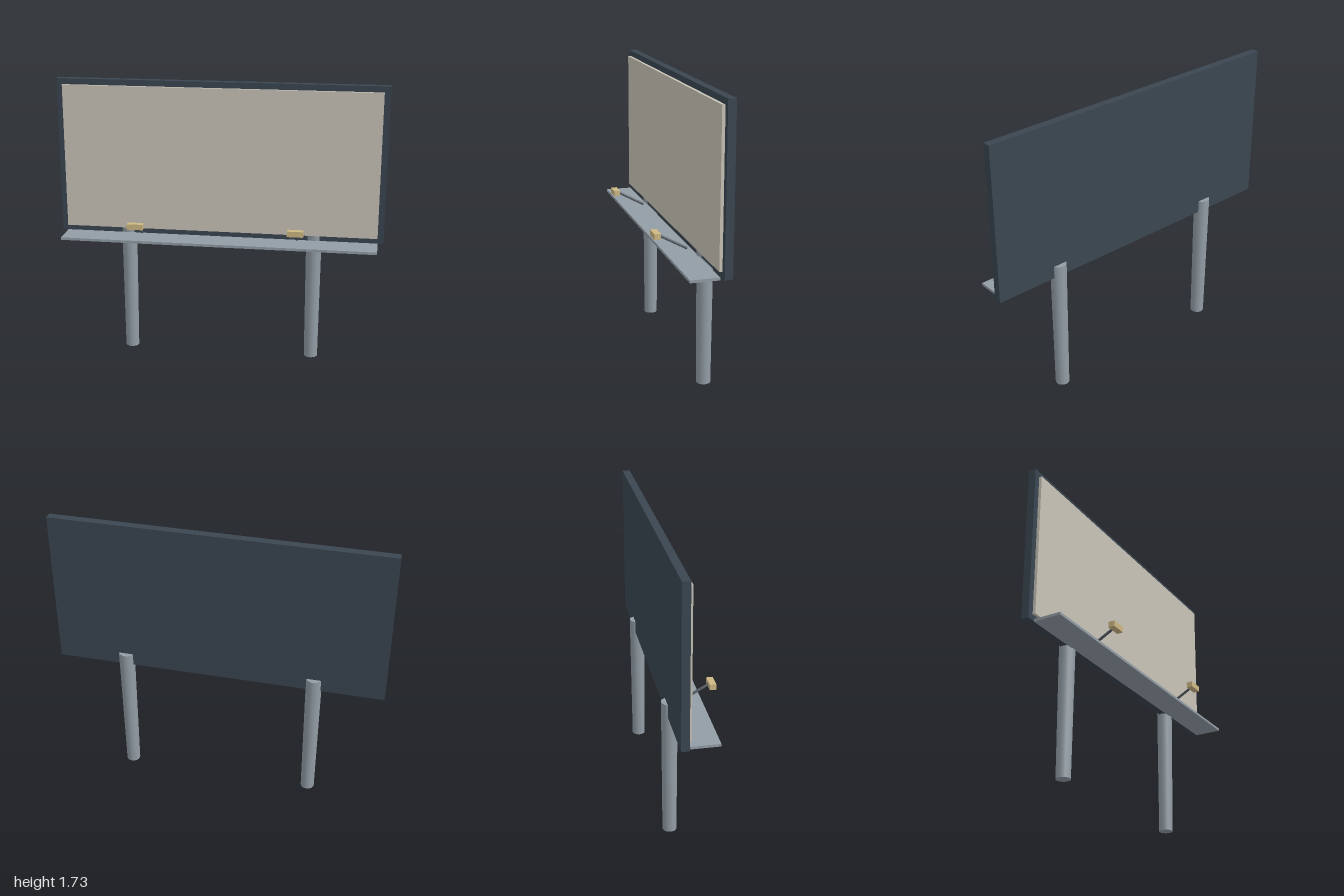
import * as THREE from 'three';

const mat = (name, color) => {
  const m = new THREE.MeshStandardMaterial({ color });
  m.name = name;
  return m;
};

export function createModel() {
  const group = new THREE.Group();
  const frameMat = mat('dark slate frame', 0x3a4651);
  const panelMat = mat('warm grey panel', 0xc9c4b8);
  const metalMat = mat('galvanised metal', 0x929da5);
  const armMat = mat('dark arm metal', 0x565f67);
  const lampMat = mat('lamp tan', 0xcdb883);

  const add = (name, geometry, material, x, y, z) => {
    const mesh = new THREE.Mesh(geometry, material);
    mesh.name = name;
    mesh.position.set(x, y, z);
    group.add(mesh);
    return mesh;
  };

  // Solid backing board whose border frames the display panel
  add('frame', new THREE.BoxGeometry(2, 0.958, 0.047), frameMat, 0, 1.253, -0.1085);
  add('displayPanel', new THREE.BoxGeometry(1.926, 0.887, 0.022), panelMat, 0, 1.2525, -0.078);

  // Service walkway along the lower edge
  add('walkway', new THREE.BoxGeometry(1.926, 0.016, 0.168), metalMat, 0, 0.77, 0.01);

  // Direction of the slanted lamp arms
  const armStart = new THREE.Vector3(0, 0.792, -0.04);
  const armEnd = new THREE.Vector3(0, 0.888, 0.135);
  const armDir = armEnd.clone().sub(armStart);
  const armMid = armStart.clone().add(armEnd).multiplyScalar(0.5);

  for (const [side, s] of [['left', 1], ['right', -1]]) {
    // Support post, slightly wider at the top
    add(side + 'Post', new THREE.CylinderGeometry(0.048, 0.042, 0.85, 16), metalMat, s * 0.578, 0.425, -0.115);

    // Floodlight on its arm
    const arm = add(side + 'LampArm', new THREE.CylinderGeometry(0.008, 0.008, armDir.length(), 8), armMat, s * 0.481, armMid.y, armMid.z);
    arm.quaternion.setFromUnitVectors(new THREE.Vector3(0, 1, 0), armDir.clone().normalize());
    add(side + 'Lamp', new THREE.BoxGeometry(0.096, 0.034, 0.038), lampMat, s * 0.481, 0.888, 0.145);
  }
  return group;
}
